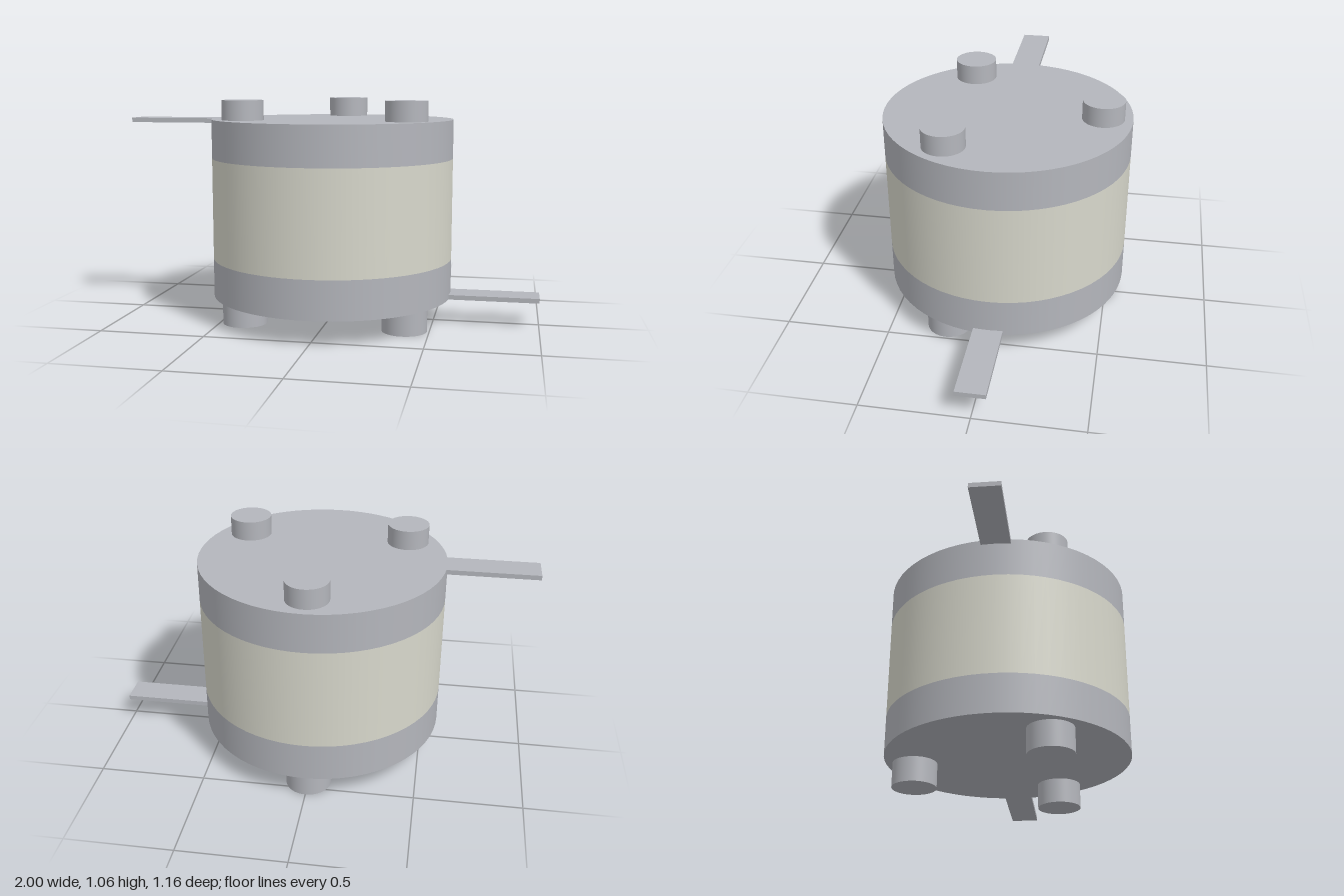
import * as THREE from 'three';

export function createModel() {
  const model = new THREE.Group();
  const metal = new THREE.MeshStandardMaterial({ color: 0xb4b6bc });
  metal.name = 'grey metal';
  const ceramic = new THREE.MeshStandardMaterial({ color: 0xd8d8cc });
  ceramic.name = 'ivory ceramic';

  const add = (name, geometry, material, x, y, z) => {
    const mesh = new THREE.Mesh(geometry, material);
    mesh.name = name;
    mesh.position.set(x, y, z);
    model.add(mesh);
  };

  // Upright cylinder between two heights
  const drum = (name, radius, y0, y1, material, x = 0, z = 0, open = false) =>
    add(name, new THREE.CylinderGeometry(radius, radius, y1 - y0, 64, 1, open),
      material, x, (y0 + y1) / 2, z);

  // Body: two metal caps around a ceramic ring
  const R = 0.58;
  drum('lowerCap', R, 0.12, 0.302, metal);
  drum('ceramicRing', R, 0.302, 0.785, ceramic, 0, 0, true);
  drum('upperCap', R, 0.785, 0.97, metal);

  // Three pegs above and three feet below, evenly spaced
  for (let i = 0; i < 3; i++) {
    const a = Math.PI + (i * 2 * Math.PI) / 3;
    const x = 0.443 * Math.sin(a);
    const z = 0.443 * Math.cos(a);
    drum('topPeg', 0.098, 0.97, 1.063, metal, x, z);
    drum('bottomPeg', 0.106, 0, 0.12, metal, x, z);
  }

  // Flat terminals, flush with the top and bottom faces
  const tab = new THREE.BoxGeometry(0.45, 0.022, 0.138);
  add('upperTerminal', tab, metal, -0.775, 0.959, 0);
  add('lowerTerminal', tab, metal, 0.775, 0.131, 0);

  return model;
}
